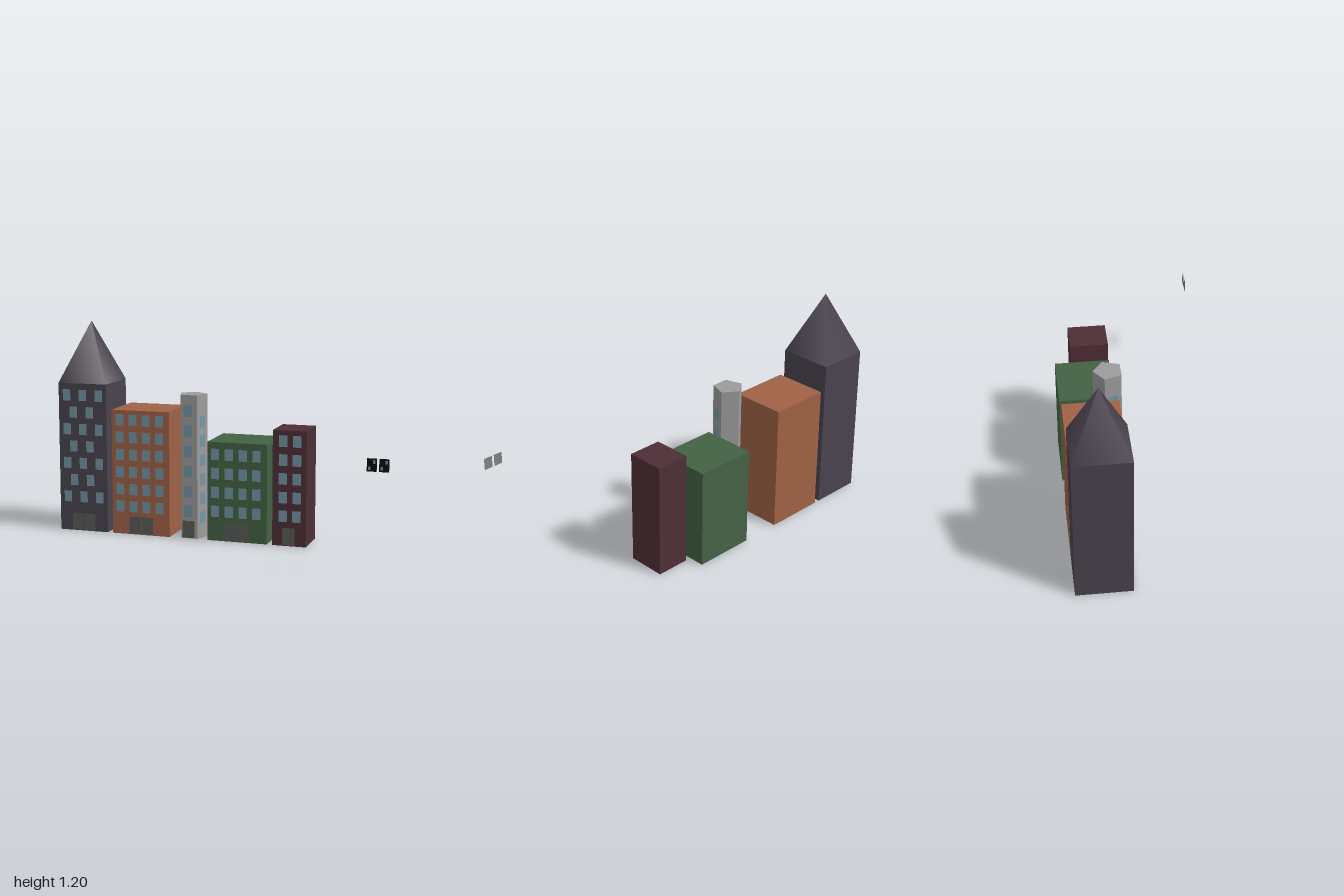
import * as THREE from 'three';

const mat = (color, side = THREE.FrontSide) => new THREE.MeshStandardMaterial({ color, side });
const glass = mat(0x7396a6);
const doorGrey = mat(0x5a5a58);
const frameGrey = mat(0x808080, THREE.DoubleSide);
const black = mat(0x0a0c0e);
const FRONT = -0.113;

function add(parent, name, geometry, material, x, y, z) {
  const mesh = new THREE.Mesh(geometry, material);
  mesh.name = name;
  mesh.position.set(x, y, z);
  parent.add(mesh);
  return mesh;
}

const panel = (parent, name, w, h, material, x, y, z) =>
  add(parent, name, new THREE.PlaneGeometry(w, h), material, x, y, z);

// A box block with its windows and door leaves on the front
function building({ name, color, x, width, height, depth, cols, rows, leaves, doorX, winW = 0.048 }) {
  const g = new THREE.Group();
  g.name = name;
  add(g, 'walls', new THREE.BoxGeometry(width, height, depth), mat(color), x, height / 2, FRONT - depth / 2);
  rows.forEach((y, i) => {
    const columns = Array.isArray(cols[0]) ? cols[i % cols.length] : cols;
    for (const cx of columns) panel(g, 'window', winW, 0.064, glass, cx, y, FRONT + 0.002);
  });
  for (let i = 0; i < leaves; i++) {
    panel(g, 'door', 0.069, 0.097, doorGrey, doorX + (i - (leaves - 1) / 2) * 0.072, 0.053, FRONT + 0.002);
  }
  return g;
}

const rowsFrom = (top, step, n) => Array.from({ length: n }, (_, i) => top - i * step);

export function createModel() {
  const model = new THREE.Group();
  model.name = 'cityRow';

  // Tall block with staggered windows and a pyramid roof
  const tall = building({
    name: 'tallTower', color: 0x4a434e, x: -0.855, width: 0.29, height: 0.85, depth: 0.3,
    cols: [[-0.951, -0.854, -0.757], [-0.911, -0.812]], rows: rowsFrom(0.783, 0.0975, 7),
    leaves: 2, doorX: -0.855, winW: 0.046,
  });
  const roof = new THREE.ConeGeometry(Math.SQRT1_2, 0.345, 4);
  roof.rotateY(Math.PI / 4);
  add(tall, 'roof', roof, mat(0x4a434e), -0.855, 1.0225, FRONT - 0.15).scale.set(0.29, 1, 0.3);
  model.add(tall);

  // Plain blocks
  model.add(building({
    name: 'orangeBlock', color: 0xa06245, x: -0.506, width: 0.343, height: 0.71, depth: 0.3,
    cols: [-0.63, -0.551, -0.473, -0.394], rows: rowsFrom(0.655, 0.099, 6), leaves: 2, doorX: -0.505,
  }));
  model.add(building({
    name: 'greenBlock', color: 0x446244, x: 0.06, width: 0.343, height: 0.557, depth: 0.3,
    cols: [-0.066, 0.013, 0.093, 0.172], rows: rowsFrom(0.488, 0.107, 4), leaves: 2, doorX: 0.06,
  }));
  model.add(building({
    name: 'redBlock', color: 0x4e2e37, x: 0.358, width: 0.19, height: 0.641, depth: 0.211,
    cols: [0.322, 0.4], rows: rowsFrom(0.582, 0.104, 5), leaves: 1, doorX: 0.355,
  }));

  // Five-sided tower, flat face to the front
  const R = 0.081, inner = R * Math.cos(Math.PI / 5);
  const tower = new THREE.Group();
  tower.name = 'pentagonTower';
  tower.position.set(-0.211, 0, -0.158);
  const shaft = new THREE.CylinderGeometry(R, R, 0.807, 5).toNonIndexed();
  shaft.rotateY(Math.PI);
  shaft.computeVertexNormals();
  add(tower, 'shaft', shaft, mat(0x9c9c9c), 0, 0.4105, 0);
  for (const side of [-1, 0, 1]) {
    const face = new THREE.Group();
    face.name = 'towerFace';
    face.rotation.y = side * Math.PI * 0.4;
    const rows = side ? rowsFrom(0.663, 0.108, 6) : rowsFrom(0.725, 0.113, 6);
    for (const y of rows) panel(face, 'window', 0.048, 0.064, glass, side ? 0 : -0.006, y, inner + 0.002);
    if (!side) panel(face, 'door', 0.07, 0.097, doorGrey, -0.005, 0.058, inner + 0.002);
    tower.add(face);
  }
  model.add(tower);

  // Pair of loose window panels standing off in front
  for (const x of [0.913, 0.975]) {
    const w = new THREE.Group();
    w.name = 'looseWindow';
    w.position.set(x, 0.579, 0.41);
    panel(w, 'frame', 0.05, 0.066, frameGrey, 0, 0, 0);
    panel(w, 'darkPane', 0.05, 0.066, black, 0, 0, 0.001);
    for (const s of [-1, 1]) {
      panel(w, 'glint', 0.014, 0.018, glass, s * 0.012, s * 0.016, 0.002);
    }
    model.add(w);
  }
  return model;
}
